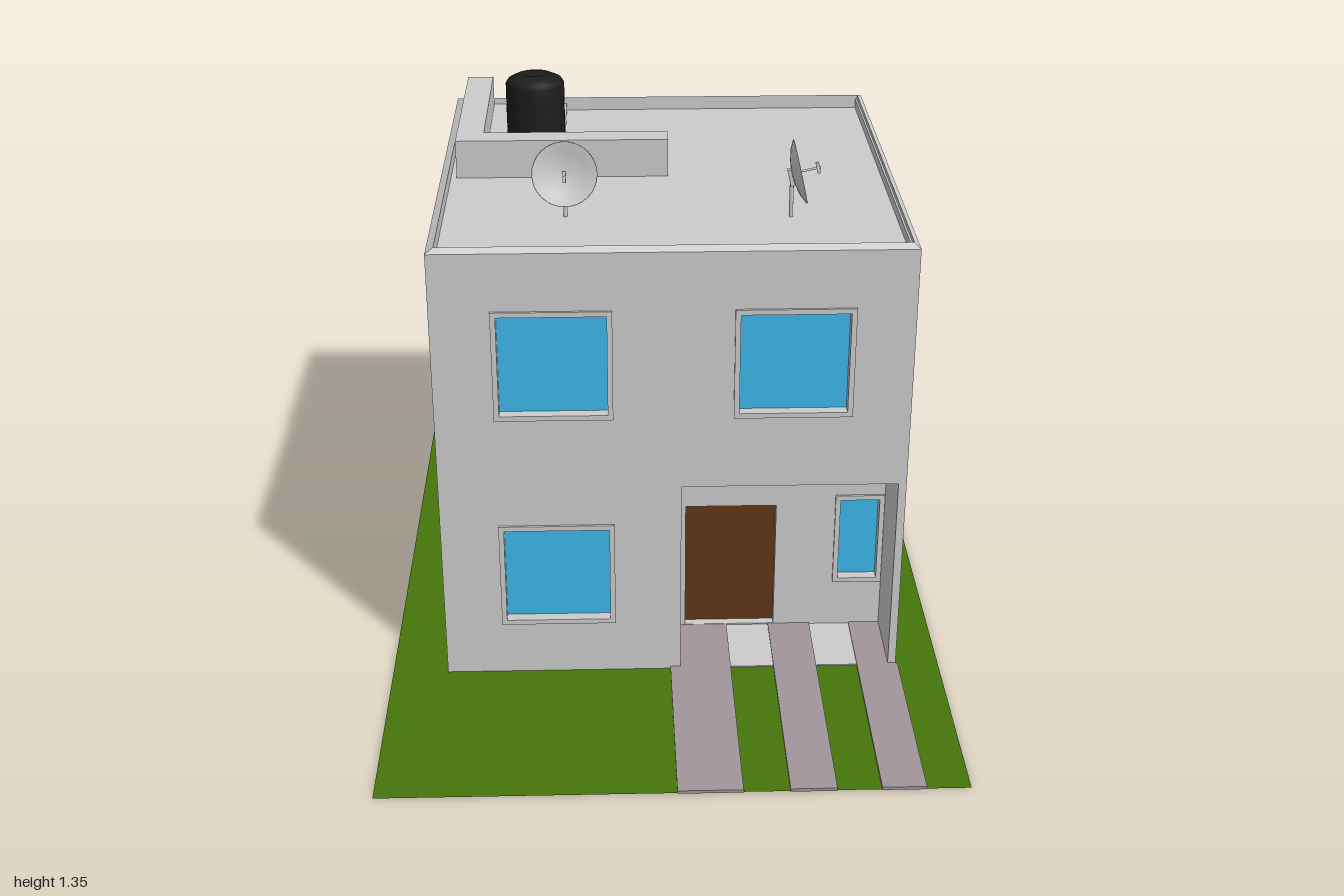
import * as THREE from 'three';

const mat = (color) => new THREE.MeshStandardMaterial({ color, side: THREE.DoubleSide });
const GREY = mat(0xcccccc), GLASS = mat(0x3cb7ea), WOOD = mat(0x613719);
const GRASS = mat(0x46750b), PAVING = mat(0xa0959a), BLACK = mat(0x1c1c1c);

// House limits
const X0 = -0.56, X1 = 0.59, Z0 = -0.65, Z1 = 0.5, EAVE = 1.16, ROOF = 1.135;

function add(parent, name, geometry, material = GREY) {
  const m = new THREE.Mesh(geometry, material);
  m.name = name;
  parent.add(m);
  return m;
}

// Box given by its limits on each axis
function box(parent, name, [x0, x1], [y0, y1], [z0, z1], material) {
  const m = add(parent, name, new THREE.BoxGeometry(x1 - x0, y1 - y0, z1 - z0), material);
  m.position.set((x0 + x1) / 2, (y0 + y1) / 2, (z0 + z1) / 2);
  return m;
}

function trace(path, x0, x1, y0, y1) {
  path.moveTo(x0, y0);
  path.lineTo(x1, y0);
  path.lineTo(x1, y1);
  path.lineTo(x0, y1);
  path.closePath();
  return path;
}

// Rectangular panel with rectangular holes, outer face at z = 0
function panel(parent, name, rect, holes, depth) {
  const shape = trace(new THREE.Shape(), ...rect);
  holes.forEach((h) => shape.holes.push(trace(new THREE.Path(), ...h)));
  const geo = new THREE.ExtrudeGeometry(shape, { depth, bevelEnabled: false });
  geo.translate(0, 0, -depth);
  return add(parent, name, geo);
}

// Wall with openings; each opening may have an infill and a trim
function wall(parent, name, rect, openings, depth) {
  const g = new THREE.Group();
  g.name = name;
  parent.add(g);
  panel(g, name + 'Panel', rect, openings.map((o) => o.rect), depth);
  for (const { rect: [a, b, c, d], fill, trim } of openings) {
    if (fill) box(g, fill === WOOD ? 'door' : 'windowPane', [a, b], [c, d], [-depth - 0.008, -depth + 0.003], fill);
    if (trim) {
      const t = 0.013;
      const frame = panel(g, 'windowFrame', [a - t, b + t, c - t, d + t], [[a, b, c, d]], 0.006);
      frame.position.z = 0.006;
    }
  }
  return g;
}

// Recessed porch behind an opening of a wall
function porch(parent, name, [x0, x1, y0, y1], openings) {
  const g = new THREE.Group(), D = 0.19;
  g.name = name;
  parent.add(g);
  wall(g, 'porchWall', [x0, x1, y0, y1], openings, 0.025).position.z = -D;
  box(g, 'porchCeiling', [x0, x1], [y1, y1 + 0.01], [-D, -0.02]);
  box(g, 'porchSide', [x0 - 0.01, x0], [y0, y1], [-D, -0.02]);
  box(g, 'porchSide', [x1, x1 + 0.01], [y0, y1], [-D, -0.02]);
  box(g, 'porchFloor', [x0, x1], [0.001, y0], [-D - 0.03, -0.02]);
}

// Parapet lofted through rectangular rings
function parapet() {
  const rings = [
    [X0, X1, Z0, Z1, EAVE],
    [-0.54, 0.575, -0.615, 0.485, 1.172],
    [-0.54, 0.575, -0.615, 0.485, ROOF],
  ].map(([a, b, c, d, y]) => [[a, y, d], [b, y, d], [b, y, c], [a, y, c]]);
  const pos = [];
  for (let r = 0; r < 2; r++) {
    for (let i = 0; i < 4; i++) {
      const j = (i + 1) % 4, [lo, hi] = [rings[r], rings[r + 1]];
      for (const p of [lo[i], lo[j], hi[j], lo[i], hi[j], hi[i]]) pos.push(...p);
    }
  }
  const geo = new THREE.BufferGeometry();
  geo.setAttribute('position', new THREE.Float32BufferAttribute(pos, 3));
  geo.computeVertexNormals();
  return geo;
}

const lathe = (pts, n = 32) => new THREE.LatheGeometry(pts.map(([x, y]) => new THREE.Vector2(x, y)), n);

// Dish on a post, facing +z before turning
function satelliteDish(parent, x, z, turn) {
  const g = new THREE.Group();
  g.name = 'satelliteDish';
  g.position.set(x, 1.25, z);
  g.rotation.y = turn;
  parent.add(g);
  const head = new THREE.Group();
  head.name = 'dishHead';
  head.rotation.x = 1.35;
  g.add(head);
  add(head, 'dishBowl', lathe([[0, -0.018], [0.03, -0.015], [0.058, -0.008], [0.08, 0.003], [0.078, 0.005], [0.055, -0.004], [0.028, -0.011], [0, -0.014]]));
  add(head, 'feedArm', new THREE.CylinderGeometry(0.003, 0.003, 0.07, 8)).position.y = 0.02;
  box(head, 'feedHorn', [-0.004, 0.004], [0.044, 0.052], [-0.014, 0.014]);
  box(head, 'dishBracket', [-0.008, 0.008], [-0.026, -0.014], [-0.012, 0.03]);
  const post = add(g, 'dishPost', new THREE.CylinderGeometry(0.005, 0.005, 0.11, 10));
  post.position.set(0, -0.06, -0.016);
}

export function createModel() {
  const model = new THREE.Group();
  model.name = 'house';

  // Plot and paving strips
  const lawn = add(model, 'lawn', new THREE.PlaneGeometry(1.4, 2), GRASS);
  lawn.rotation.x = -Math.PI / 2;
  lawn.position.y = 0.002;
  for (const xs of [[0.01, 0.165], [0.275, 0.385], [0.49, 0.595]]) {
    box(model, 'pavingStrip', xs, [0, 0.008], [Z1, 1], PAVING);
    box(model, 'pavingStripInPorch', [Math.max(xs[0], 0.036), Math.min(xs[1], 0.57)], [0, 0.008], [0.31, Z1], PAVING);
  }
  box(model, 'foundation', [X0, X1], [0, 0.004], [Z0, Z1]);

  // Front wall with three windows and the entrance porch
  const frontPorch = [0.036, 0.57, 0.005, 0.537];
  const front = wall(model, 'frontWall', [X0, X1, 0, EAVE], [
    { rect: [-0.403, -0.142, 0.74, 1.0], fill: GLASS, trim: true },
    { rect: [0.174, 0.435, 0.74, 1.0], fill: GLASS, trim: true },
    { rect: [-0.403, -0.142, 0.16, 0.42], fill: GLASS, trim: true },
    { rect: frontPorch },
  ], 0.025);
  front.position.z = Z1;
  porch(front, 'frontPorch', frontPorch, [
    { rect: [0.055, 0.289, 0.009, 0.37], fill: WOOD },
    { rect: [0.455, 0.556, 0.15, 0.385], fill: GLASS, trim: true },
  ]);

  // Back wall with its own porch and door
  const backPorch = [0, 0.543, 0.005, 0.537];
  const back = wall(model, 'backWall', [-X1, -X0, 0, EAVE], [{ rect: backPorch }], 0.025);
  back.rotation.y = Math.PI;
  back.position.z = Z0;
  porch(back, 'backPorch', backPorch, [{ rect: [0.03, 0.265, 0.009, 0.37], fill: WOOD }]);

  // Side walls, one window each
  const left = wall(model, 'leftWall', [-Z1 + 0.025, -Z0 - 0.025, 0, EAVE],
    [{ rect: [0.215, 0.507, 0.727, 1.016], fill: GLASS }], 0.02);
  left.rotation.y = Math.PI / 2;
  left.position.x = X1;
  const right = wall(model, 'rightWall', [Z0 + 0.025, Z1 - 0.025, 0, EAVE],
    [{ rect: [-0.365, -0.09, 0.31, 0.6], fill: GLASS }], 0.017);
  right.rotation.y = -Math.PI / 2;
  right.position.x = X0;

  // Roof
  box(model, 'roofSlab', [-0.543, 0.572], [1.1, ROOF], [-0.625, 0.475]);
  add(model, 'parapet', parapet());
  box(model, 'tankWallSide', [-0.525, -0.455], [ROOF, 1.235], [-0.614, -0.07]);
  box(model, 'tankWallFront', [-0.455, 0.02], [ROOF, 1.235], [-0.135, -0.07]);
  box(model, 'tankPlatform', [-0.455, 0.02], [ROOF, 1.155], [-0.34, -0.135]);
  box(model, 'tankPlatform', [-0.455, -0.25], [ROOF, 1.155], [-0.614, -0.34]);

  // Water tank with shallow ribs and a dished lid
  const tank = add(model, 'waterTank', lathe([
    [0, 0], [0.077, 0], [0.077, 0.05], [0.074, 0.054], [0.077, 0.058], [0.077, 0.108],
    [0.074, 0.112], [0.077, 0.116], [0.077, 0.168], [0.07, 0.178], [0.05, 0.188],
    [0.03, 0.193], [0.026, 0.188], [0, 0.186],
  ]), BLACK);
  tank.position.set(-0.325, 1.155, -0.28);

  satelliteDish(model, -0.24, 0.22, 0);
  satelliteDish(model, 0.328, 0.22, Math.PI / 2);
  return model;
}
